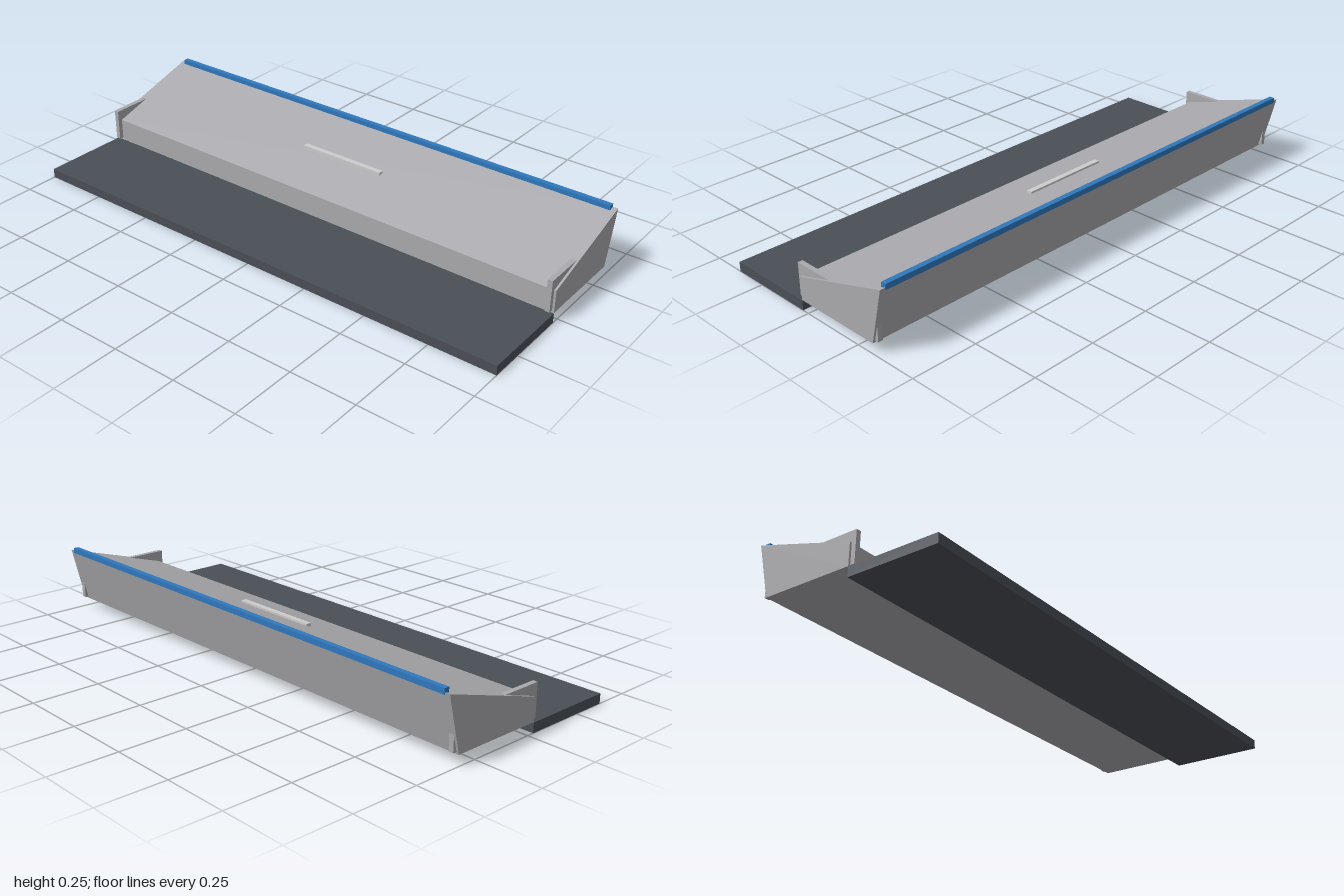
import * as THREE from 'three';

export function createModel() {
  const model = new THREE.Group();
  const mat = (name, color) => {
    const m = new THREE.MeshStandardMaterial({ color });
    m.name = name;
    return m;
  };
  const silver = mat('silver', 0xaaa9ad);
  const darkGrey = mat('dark grey', 0x4a4f57);
  const blue = mat('blue', 0x2f78bd);
  const lightGrey = mat('light grey', 0xcccccc);

  // Box given by its limits on each axis
  const box = (name, material, [x0, x1], [y0, y1], [z0, z1]) => {
    const mesh = new THREE.Mesh(new THREE.BoxGeometry(x1 - x0, y1 - y0, z1 - z0), material);
    mesh.position.set((x0 + x1) / 2, (y0 + y1) / 2, (z0 + z1) / 2);
    mesh.name = name;
    model.add(mesh);
  };

  // Flat front slab
  box('frontSlab', darkGrey, [-1, 1], [0, 0.036], [0.027, 0.375]);

  // Sloped body: side profile (-z, y) extruded along the width
  const profile = new THREE.Shape([
    [-0.027, 0.038], [0.322, 0.038], [0.372, 0.243], [-0.027, 0.123],
  ].map(([u, y]) => new THREE.Vector2(u, y)));
  const bodyGeometry = new THREE.ExtrudeGeometry(profile, { depth: 2, bevelEnabled: false });
  bodyGeometry.translate(0, 0, -1).rotateY(Math.PI / 2);
  const body = new THREE.Mesh(bodyGeometry, silver);
  body.name = 'slopedBody';
  model.add(body);

  // Upright plates set into both ends
  for (const side of [-1, 1]) {
    const name = side > 0 ? 'leftEndPlate' : 'rightEndPlate';
    box(name, silver, [side * 0.983 - 0.009, side * 0.983 + 0.009], [0.045, 0.165], [-0.338, 0.044]);
  }

  // Trim along the rear top edge
  box('rearTrim', blue, [-0.98, 0.98], [0.235, 0.255], [-0.373, -0.353]);

  // Handle on the slope
  box('handle', lightGrey, [-0.175, 0.175], [0.176, 0.191], [-0.175, -0.155]);

  return model;
}
